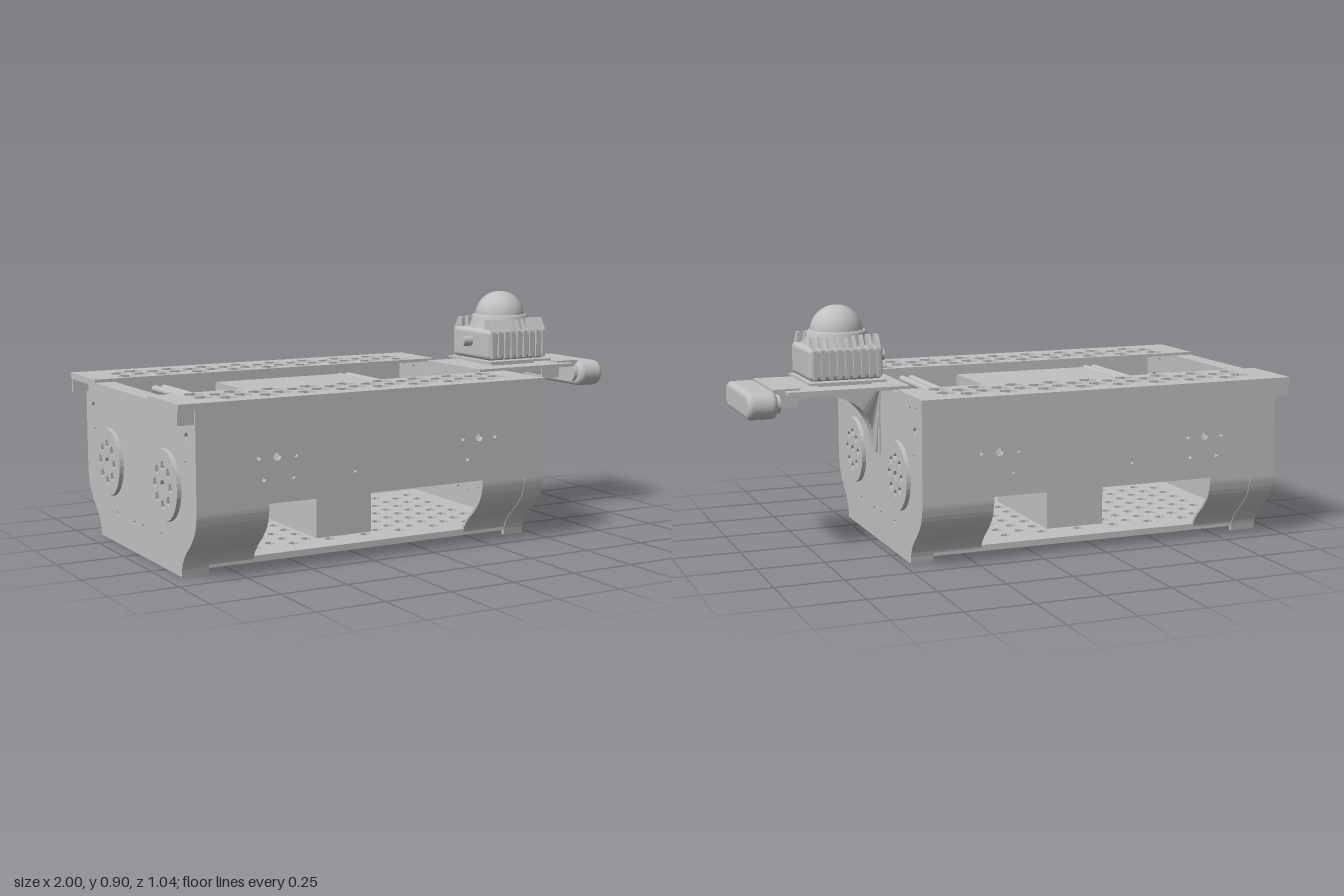
import * as THREE from 'three';
import { RoundedBoxGeometry } from 'three/addons/geometries/RoundedBoxGeometry.js';

const grey = new THREE.MeshStandardMaterial({ color: 0xc0c0c0 });
grey.name = 'bare grey';

const V = (x, y) => new THREE.Vector2(x, y);

function add(parent, name, geometry, x = 0, y = 0, z = 0) {
  const mesh = new THREE.Mesh(geometry, grey);
  mesh.name = name;
  mesh.position.set(x, y, z);
  parent.add(mesh);
  return mesh;
}

// Box given by its two extreme corners
function box(parent, name, x0, x1, y0, y1, z0, z1) {
  const geo = new THREE.BoxGeometry(x1 - x0, y1 - y0, z1 - z0);
  return add(parent, name, geo, (x0 + x1) / 2, (y0 + y1) / 2, (z0 + z1) / 2);
}

const rect = (a0, a1, b0, b1) => [V(a0, b0), V(a1, b0), V(a1, b1), V(a0, b1)];

// Regular polygon used as a cut-out
function hole(cx, cy, r, sides = 6) {
  const pts = [];
  for (let i = 0; i < sides; i++) {
    const a = -(i / sides) * Math.PI * 2;
    pts.push(V(cx + r * Math.cos(a), cy + r * Math.sin(a)));
  }
  return new THREE.Path(pts);
}

function sheet(points, holes, depth) {
  const shape = new THREE.Shape(points);
  shape.holes.push(...holes);
  return new THREE.ExtrudeGeometry(shape, { depth, bevelEnabled: false });
}
// Sheet lying flat (outline in x,z): fills from y = 0 down to -depth
const flat = (p, h, d) => sheet(p, h, d).rotateX(Math.PI / 2);
// Sheet facing sideways (outline in z,y): fills from x = 0 down to -depth
const sideways = (p, h, d) => sheet(p, h, d).rotateY(-Math.PI / 2);

// Lower flank of the body, from the straight side inwards to the foot
const flank = new THREE.SplineCurve([
  V(0.515, 0.25), V(0.513, 0.22), V(0.498, 0.17), V(0.46, 0.122),
  V(0.42, 0.085), V(0.392, 0.045), V(0.382, 0),
]).getPoints(20);

function endPlate(body, name, x) {
  const mirrored = flank.map((p) => V(-p.x, p.y)).reverse();
  const outline = [V(0.515, 0.6), ...flank, ...mirrored, V(-0.515, 0.6)].reverse();
  const holes = [];
  for (const s of [-1, 1]) {
    holes.push(hole(s * 0.44, 0.49, 0.017), hole(s * 0.39, 0.565, 0.008), hole(s * 0.43, 0.4, 0.007));
    holes.push(hole(s * 0.04, 0.11, 0.009), hole(s * 0.21, 0.115, 0.008), hole(s * 0.46, 0.57, 0.007));
  }
  add(body, name, sideways(outline, holes, 0.015), x);
}

// Wheel-shaped drive: drilled cap outside, stepped drum inside
function drive(body, x, dir, z) {
  const g = new THREE.Group();
  g.name = 'drive';
  const rim = [];
  for (let i = 0; i < 32; i++) {
    const a = (i / 32) * Math.PI * 2;
    rim.push(V(0.127 * Math.cos(a), 0.127 * Math.sin(a)));
  }
  const holes = [hole(0, 0, 0.02)];
  for (let i = 0; i < 8; i++) {
    const a = (i / 8) * Math.PI * 2;
    holes.push(hole(0.068 * Math.cos(a), 0.068 * Math.sin(a), 0.018, 5));
  }
  add(g, 'driveCap', sideways(rim, holes, 0.016), dir > 0 ? 0.016 : 0);
  const drum = (r, len, from) => {
    const geo = new THREE.CylinderGeometry(r, r, len, 36).rotateZ(Math.PI / 2);
    add(g, 'driveDrum', geo, -dir * (from + len / 2), 0.03, 0);
  };
  drum(0.195, 0.1, 0.02);
  drum(0.16, 0.035, 0.12);
  g.position.set(x, 0.3, z);
  body.add(g);
}

function buildBody() {
  const body = new THREE.Group();
  body.name = 'body';
  endPlate(body, 'rightEndPlate', -0.925);
  endPlate(body, 'leftEndPlate', 0.47);
  for (const z of [-0.265, 0.265]) {
    drive(body, 0.47, 1, z);
    drive(body, -0.94, -1, z);
  }

  for (const s of [-1, 1]) {
    // Tall side wall with bolt holes
    const bolts = [[-0.64, 0.41, 0.015], [-0.71, 0.41, 0.008], [-0.57, 0.41, 0.008], [0.18, 0.41, 0.015],
      [0.11, 0.41, 0.008], [0.25, 0.41, 0.008], [-0.69, 0.335, 0.008], [-0.58, 0.335, 0.008],
      [-0.34, 0.335, 0.008], [0.13, 0.335, 0.008]].map((b) => hole(...b));
    add(body, 'sideWall', sheet(rect(-0.94, 0.47, 0.25, 0.6), bolts, 0.012), 0, 0, s > 0 ? 0.503 : -0.515);

    // Curved skirts at each end, the outermost reaching the ground
    const skirt = (x0, x1, cut, inset) => {
      const outer = flank.filter((p) => p.y >= cut).map((p) => V(s * (p.x - inset), p.y));
      const inner = outer.map((p) => V(p.x - s * 0.014, p.y)).reverse();
      add(body, 'skirt', sideways([...outer, ...inner], [], x1 - x0), x1);
    };
    skirt(-0.94, -0.84, 0, 0);
    skirt(-0.84, -0.67, 0.02, 0.003);
    skirt(0.2, 0.385, 0.02, 0.003);
    skirt(0.385, 0.47, 0, 0);

    // Perforated top rail
    const holes = [];
    for (let i = 0; i < 17; i++) {
      const near = i % 2 ? 0.348 : 0.305;
      for (const z of [near, near + 0.086]) holes.push(hole(-0.853 + i * 0.0743, s * z, 0.036));
    }
    const edge = s > 0 ? rect(-1, 0.47, 0.255, 0.518) : rect(-1, 0.47, -0.518, -0.255);
    add(body, 'topRail', flat(edge, holes, 0.012), 0, 0.612);
    box(body, 'railEndTab', -1, -0.94, 0.54, 0.6, s * 0.5 - 0.006, s * 0.5 + 0.006);
    box(body, 'innerLedge', -0.67, -0.54, 0.215, 0.232, s * 0.28 - 0.05, s * 0.28 + 0.05);
    box(body, 'innerLedge', 0.075, 0.2, 0.215, 0.232, s * 0.28 - 0.05, s * 0.28 + 0.05);

    // Small triangular gussets beside the equipment box
    for (const z of [0.12, 0.2]) {
      const tri = [V(0.05, s * z), V(0.13, s * (z + 0.05)), V(0.05, s * (z + 0.06))];
      add(body, 'gusset', flat(tri, [], 0.012), 0, 0.3);
    }
  }
  box(body, 'endLip', -1, -0.925, 0.588, 0.6, -0.515, 0.515);

  // Floor: a solid core between two sheets with staggered hexagonal holes
  const floorHoles = [];
  for (let i = 0; i < 17; i++) {
    for (let j = 0; j < 7; j++) {
      const z = -0.28 + j * 0.086 + (i % 2 ? 0.043 : 0);
      floorHoles.push(hole(-0.83 + i * 0.0743, z, 0.021));
    }
  }
  const floorEdge = rect(-0.93, 0.46, -0.385, 0.385);
  for (const y of [0.029, 0.043]) add(body, 'perforatedFloor', flat(floorEdge, floorHoles, 0.009), 0, y);
  add(body, 'floorCore', flat(floorEdge, [], 0.005), 0, 0.034);

  // Central equipment box on its pedestal
  box(body, 'equipmentBox', -0.505, 0.045, 0.27, 0.57, -0.28, 0.28);
  box(body, 'pedestal', -0.35, -0.12, 0.043, 0.27, -0.25, 0.25);

  // Cross beams and rods
  for (const x of [-0.635, 0.19]) {
    box(body, 'crossBeam', x - 0.025, x + 0.025, 0.27, 0.3, -0.505, 0.505);
    const rod = new THREE.CylinderGeometry(0.014, 0.014, 1.0, 12).rotateX(Math.PI / 2);
    add(body, 'crossRod', rod, x - 0.03, 0.53, 0);
    add(body, 'crossRod', rod, x + 0.01, 0.53, 0);
  }
  return body;
}

function buildArm() {
  const arm = new THREE.Group();
  arm.name = 'arm';
  // Mounting shelf, with a curved bracket that narrows towards its foot
  box(arm, 'shelf', 0.4, 0.855, 0.6, 0.613, -0.19, 0.19);
  const outline = new THREE.Shape();
  outline.moveTo(0.47, 0.34);
  outline.lineTo(0.485, 0.34);
  outline.quadraticCurveTo(0.49, 0.56, 0.7, 0.572);
  outline.quadraticCurveTo(0.79, 0.57, 0.83, 0.535);
  outline.lineTo(0.85, 0.535);
  outline.lineTo(0.85, 0.6);
  outline.lineTo(0.47, 0.6);
  const bracket = new THREE.ExtrudeGeometry(outline, { depth: 0.11, bevelEnabled: false, curveSegments: 14 });
  bracket.translate(0, 0, -0.055);
  const pos = bracket.attributes.position;
  for (let i = 0; i < pos.count; i++) {
    pos.setZ(i, pos.getZ(i) * (0.5 + 0.5 * THREE.MathUtils.smoothstep(pos.getY(i), 0.42, 0.52)));
  }
  bracket.computeVertexNormals();
  add(arm, 'curvedBracket', bracket);
  box(arm, 'bracketPad', 0.465, 0.476, 0.34, 0.6, -0.05, 0.05);
  box(arm, 'bumperMount', 0.79, 0.9, 0.54, 0.6, -0.06, 0.06);
  box(arm, 'bumperPlate', 0.8, 0.9, 0.605, 0.62, -0.15, 0.15);

  // Rounded bumper
  const stadium = (w, h) => {
    const s = new THREE.Shape();
    const r = h / 2;
    s.absarc(w / 2 - r, 0, r, -Math.PI / 2, Math.PI / 2);
    s.absarc(-w / 2 + r, 0, r, Math.PI / 2, Math.PI * 1.5);
    return s;
  };
  const opts = { depth: 0.07, bevelEnabled: true, bevelSize: 0.02, bevelThickness: 0.02, bevelSegments: 4, curveSegments: 12 };
  const bumper = new THREE.ExtrudeGeometry(stadium(0.345, 0.06), opts).rotateY(Math.PI / 2);
  add(arm, 'bumper', bumper, 0.91, 0.565, 0);
  const back = new THREE.ExtrudeGeometry(stadium(0.33, 0.065), { depth: 0.02, bevelEnabled: false }).rotateY(Math.PI / 2);
  add(arm, 'bumperBack', back, 0.875, 0.565, 0);
  return arm;
}

function buildSensor() {
  const sensor = new THREE.Group();
  sensor.name = 'sensor';
  // Foot, base flange, housing and side connector
  box(sensor, 'sensorFoot', -0.1, 0.1, -0.018, 0, -0.1, 0.1);
  box(sensor, 'baseFlange', -0.145, 0.145, -0.004, 0.004, -0.15, 0.15);
  add(sensor, 'housing', new RoundedBoxGeometry(0.28, 0.122, 0.26, 3, 0.02), 0, 0.066, 0);
  const plug = new THREE.CylinderGeometry(0.02, 0.02, 0.06, 16).rotateZ(Math.PI / 2);
  add(sensor, 'connector', plug, -0.15, 0.075, 0);

  // Cooling fins on two sides, sloping in to the collar
  const fin = [V(0.12, 0.01), V(0.138, 0.014), V(0.138, 0.118), V(0.108, 0.165), V(0.08, 0.165), V(0.08, 0.1)];
  for (const s of [-1, 1]) {
    for (let i = 0; i < 9; i++) {
      const pts = fin.map((p) => V(s * p.x, p.y));
      add(sensor, 'coolingFin', sideways(pts, [], 0.014), -0.113 + i * 0.03);
    }
  }

  // Collar and dome turned as profiles
  const collar = [V(0.128, 0.115), V(0.112, 0.155), V(0.112, 0.172), V(0.104, 0.178), V(0.096, 0.178)];
  add(sensor, 'collar', new THREE.LatheGeometry(collar, 32));
  const dome = new THREE.SphereGeometry(0.098, 36, 14, 0, Math.PI * 2, 0, Math.PI / 2);
  add(sensor, 'dome', dome, 0, 0.171, 0);
  sensor.position.set(0.62, 0.63, 0);
  return sensor;
}

export function createModel() {
  const model = new THREE.Group();
  model.name = 'perforatedChassis';
  model.add(buildBody(), buildArm(), buildSensor());
  return model;
}
